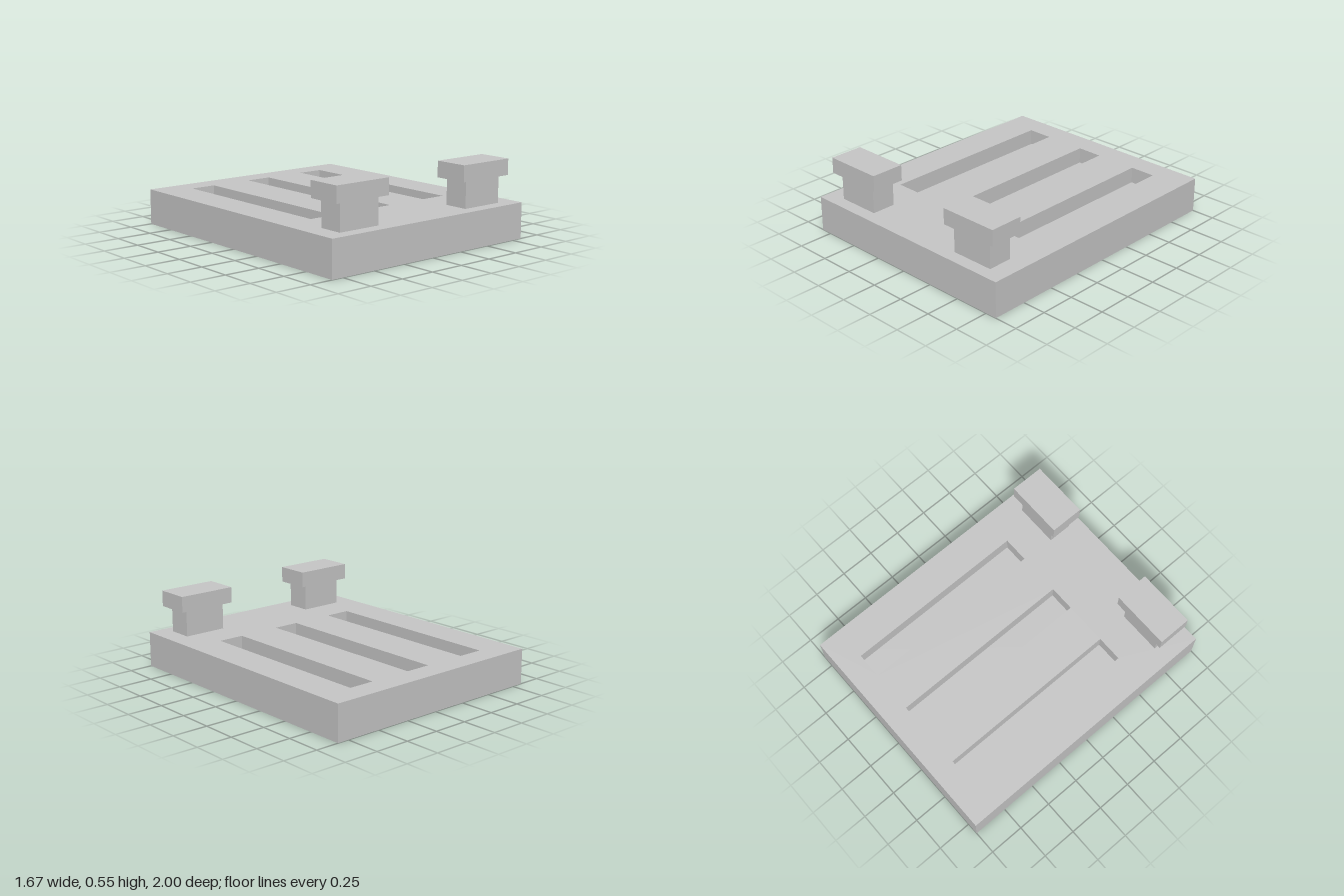
import * as THREE from 'three';

export function createModel() {
  const model = new THREE.Group();
  model.name = 'slottedPlate';
  const grey = new THREE.MeshStandardMaterial({ color: 0xc8c8c8 });
  grey.name = 'light grey';

  const HALF_X = 0.833, HALF_Z = 1, TOP = 0.25, FLOOR = 0.135;

  // Box given by its lower and upper corners
  function box(name, parent, [x0, y0, z0], [x1, y1, z1]) {
    const mesh = new THREE.Mesh(new THREE.BoxGeometry(x1 - x0, y1 - y0, z1 - z0), grey);
    mesh.position.set((x0 + x1) / 2, (y0 + y1) / 2, (z0 + z1) / 2);
    mesh.name = name;
    parent.add(mesh);
  }

  // Rectangle in plan; the shape's y axis becomes -z
  function trace(path, x0, x1, z0, z1) {
    path.moveTo(x0, -z1);
    path.lineTo(x1, -z1);
    path.lineTo(x1, -z0);
    path.lineTo(x0, -z0);
    path.closePath();
    return path;
  }

  // Base: solid lower slab, which also forms the slot floors
  box('lowerSlab', model, [-HALF_X, 0, -HALF_Z], [HALF_X, FLOOR, HALF_Z]);

  // Upper layer with three long slots
  const outline = trace(new THREE.Shape(), -HALF_X, HALF_X, -HALF_Z, HALF_Z);
  for (const x of [-0.493, 0, 0.493]) {
    outline.holes.push(trace(new THREE.Path(), x - 0.093, x + 0.093, -0.836, 0.497));
  }
  const layer = new THREE.ExtrudeGeometry(outline, { depth: TOP - FLOOR, bevelEnabled: false });
  layer.rotateX(-Math.PI / 2);
  const slotted = new THREE.Mesh(layer, grey);
  slotted.position.y = FLOOR;
  slotted.name = 'slottedLayer';
  model.add(slotted);

  // Two T-shaped pegs at the front corners
  for (const side of [-1, 1]) {
    const peg = new THREE.Group();
    peg.name = side > 0 ? 'leftPeg' : 'rightPeg';
    peg.position.set(side * 0.541, TOP, 0.822);
    box('pegStem', peg, [-0.156, 0, -0.087], [0.156, 0.188, 0.087]);
    box('pegCap', peg, [-0.211, 0.188, -0.12], [0.211, 0.30, 0.12]);
    model.add(peg);
  }
  return model;
}
